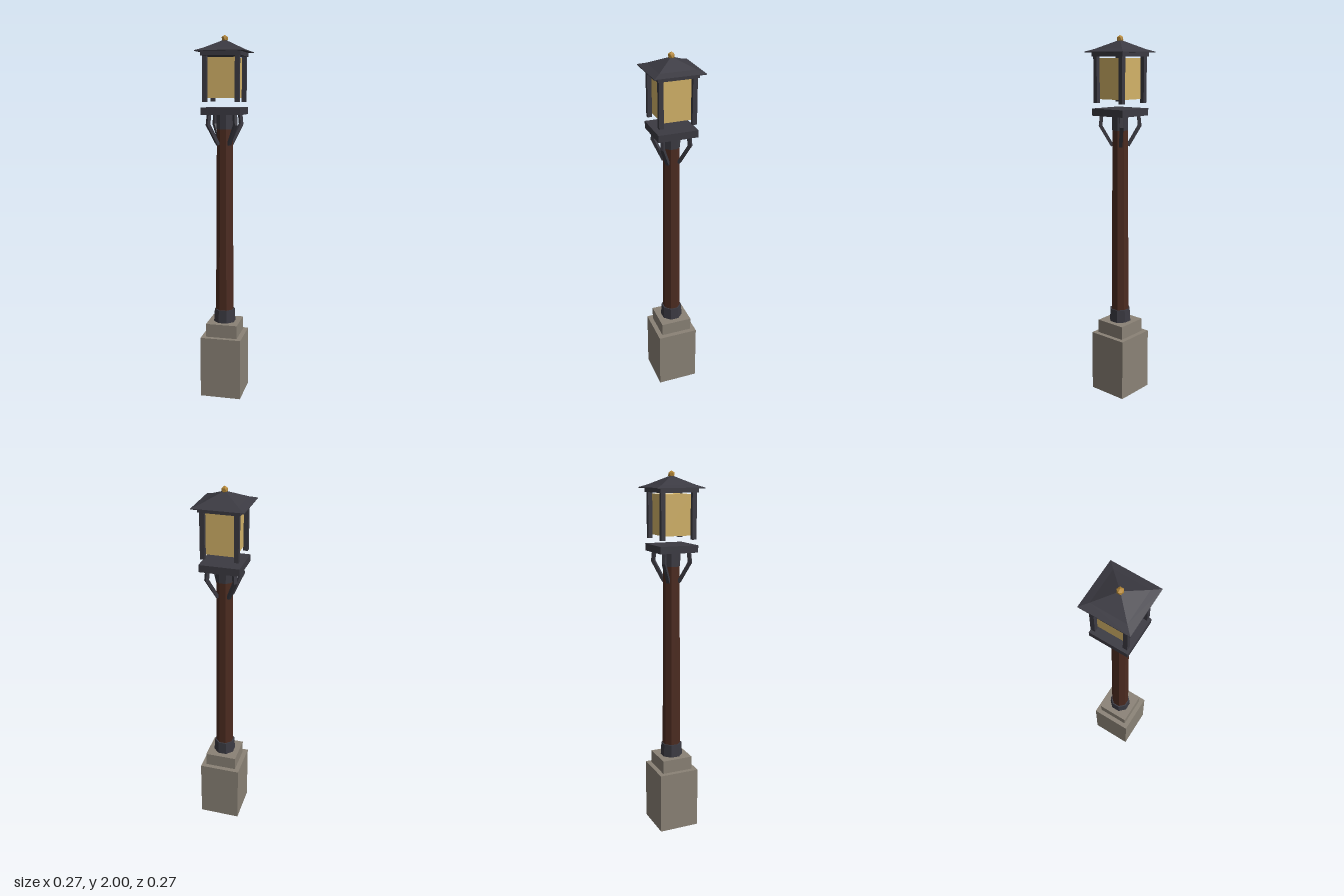
import * as THREE from 'three';

const mat = (name, color) => {
  const m = new THREE.MeshStandardMaterial({ color });
  m.name = name;
  return m;
};

// Split vertices so every facet is flat shaded
function faceted(geo) {
  const g = geo.index ? geo.toNonIndexed() : geo;
  g.computeVertexNormals();
  return g;
}

// Square block centred on the axis, from y0 to y1
const block = (half, y0, y1) =>
  new THREE.BoxGeometry(half * 2, y1 - y0, half * 2).translate(0, (y0 + y1) / 2, 0);

// Tapered eight-sided column with flats to the front; sizes are half widths across flats
function octagon(bottom, top, y0, y1) {
  const k = 1 / Math.cos(Math.PI / 8);
  return faceted(new THREE.CylinderGeometry(top * k, bottom * k, y1 - y0, 8)
    .rotateY(Math.PI / 8).translate(0, (y0 + y1) / 2, 0));
}

export function createModel() {
  const stone = mat('stone', 0x8a8276);
  const iron = mat('iron', 0x3b3a42);
  const wood = mat('wood', 0x4c2b20);
  const glass = mat('amber glass', 0xd2b268);
  const brass = mat('brass', 0xb58838);

  const model = new THREE.Group();
  model.name = 'lampPost';
  const add = (name, geo, material, parent = model) => {
    const mesh = new THREE.Mesh(geo, material);
    mesh.name = name;
    parent.add(mesh);
    return mesh;
  };

  // Stepped stone base
  add('plinth', block(0.114, 0, 0.345), stone);
  add('plinthCap', block(0.088, 0.345, 0.42), stone);

  // Wooden pole held by iron collars
  add('pole', octagon(0.047, 0.04, 0.42, 1.56), wood);
  add('lowerCollar', octagon(0.057, 0.053, 0.42, 0.492), iron);
  add('upperCollar', octagon(0.042, 0.042, 1.505, 1.585), iron);

  // Lantern platform
  add('platform', block(0.107, 1.583, 1.621), iron);

  // Bent bracket outline: radial distance across, height up
  const bracket = new THREE.Shape([
    [0.034, 1.425], [0.05, 1.418], [0.115, 1.528], [0.108, 1.588], [0.09, 1.588], [0.096, 1.532],
  ].map(([x, y]) => new THREE.Vector2(x, y)));
  const bracketGeo = new THREE.ExtrudeGeometry(bracket, { depth: 0.018, bevelEnabled: false })
    .translate(0, 0, -0.009);

  // Four diagonal brackets and four corner posts
  const brackets = new THREE.Group();
  brackets.name = 'brackets';
  const posts = new THREE.Group();
  posts.name = 'cornerPosts';
  const postGeo = new THREE.BoxGeometry(0.024, 0.242, 0.024);
  for (let i = 0; i < 4; i++) {
    const a = Math.PI / 4 + i * Math.PI / 2;
    add('bracket', bracketGeo, iron, brackets).rotation.y = a;
    add('cornerPost', postGeo, iron, posts).position.set(
      0.088 * Math.sign(Math.cos(a)), 1.771, 0.088 * Math.sign(Math.sin(a)));
  }
  model.add(brackets, posts);

  // Glass box and the frame above it
  add('glass', block(0.077, 1.67, 1.882), glass);
  add('topFrame', block(0.107, 1.89, 1.914), iron);

  // Four-sided roof with slightly flared eaves
  const profile = [[0, 1.911], [0.133, 1.911], [0.133, 1.915], [0.095, 1.929], [0, 1.976]]
    .map(([x, y]) => new THREE.Vector2(x * Math.SQRT2, y));
  add('roof', faceted(new THREE.LatheGeometry(profile, 4).rotateY(Math.PI / 4)), iron);

  // Faceted ball finial
  add('finial', new THREE.IcosahedronGeometry(0.019, 0)
    .rotateZ(Math.atan(2 / (1 + Math.sqrt(5)))).translate(0, 1.981, 0), brass);

  return model;
}
